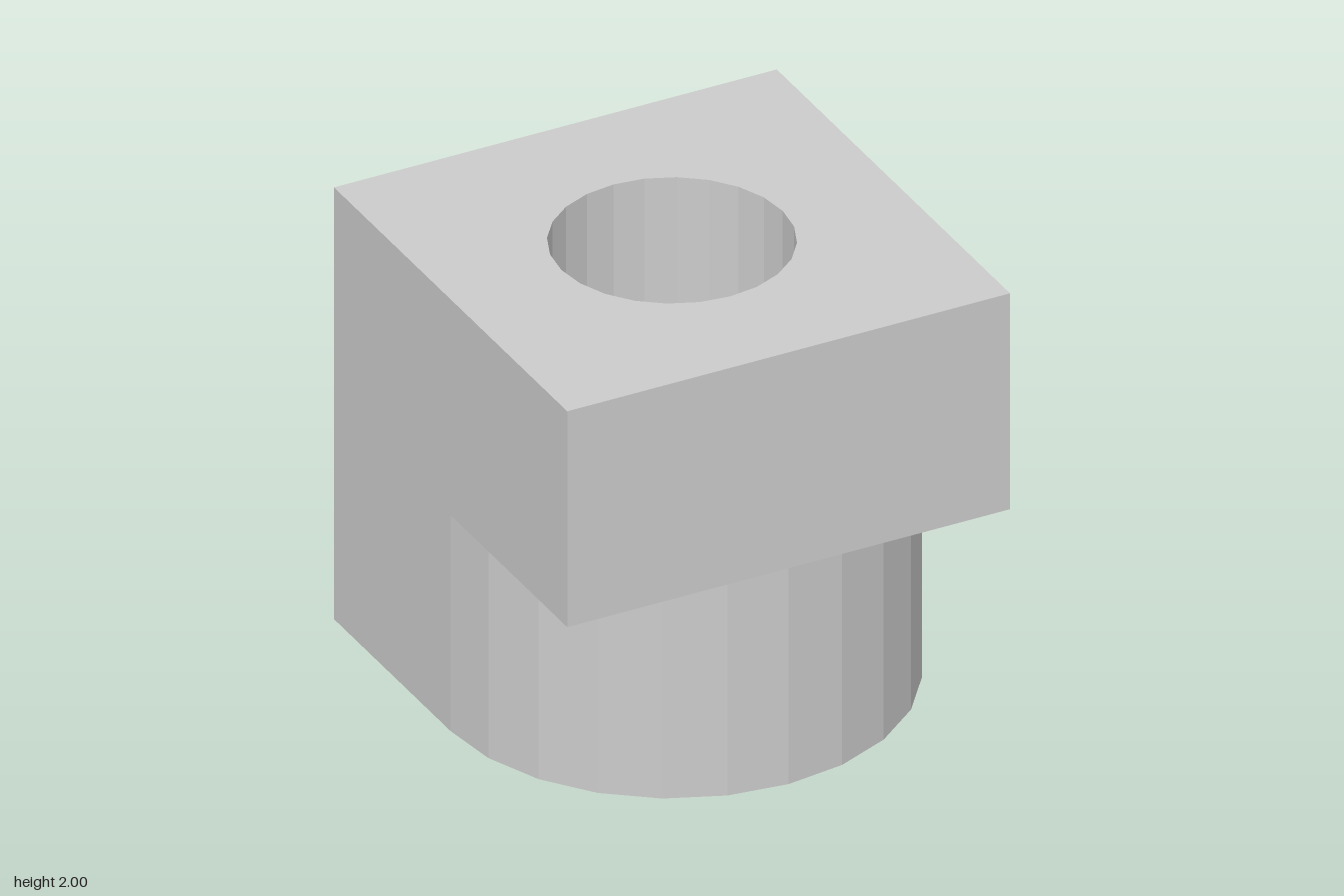
import * as THREE from 'three';

// Points on an arc, in steps of 15 degrees
function arc(radius, startDeg, endDeg) {
  const points = [];
  for (let a = startDeg; a <= endDeg; a += 15) {
    const t = THREE.MathUtils.degToRad(a);
    points.push(new THREE.Vector2(radius * Math.cos(t), radius * Math.sin(t)));
  }
  return points;
}

// Upright slab, one unit high, with the round bore through it (outline y is -z)
function boredSlab(name, outline, baseY, material) {
  const shape = new THREE.Shape(outline);
  shape.holes.push(new THREE.Path(arc(0.5, 0, 345)));
  const geometry = new THREE.ExtrudeGeometry(shape, { depth: 1, bevelEnabled: false });
  geometry.rotateX(-Math.PI / 2);
  geometry.translate(0, baseY, 0);
  const mesh = new THREE.Mesh(geometry, material);
  mesh.name = name;
  return mesh;
}

export function createModel() {
  const material = new THREE.MeshStandardMaterial({ color: 0xcccccc, flatShading: true });
  const backRight = new THREE.Vector2(1, 1);
  const backLeft = new THREE.Vector2(-1, 1);

  const group = new THREE.Group();
  group.name = 'boredBlock';

  // Lower half: square back, half-round front
  group.add(boredSlab('roundedBase', [...arc(1, 180, 360), backRight, backLeft], 0, material));

  // Upper half: full square
  const square = [new THREE.Vector2(-1, -1), new THREE.Vector2(1, -1), backRight, backLeft];
  group.add(boredSlab('squareTop', square, 1, material));

  return group;
}
